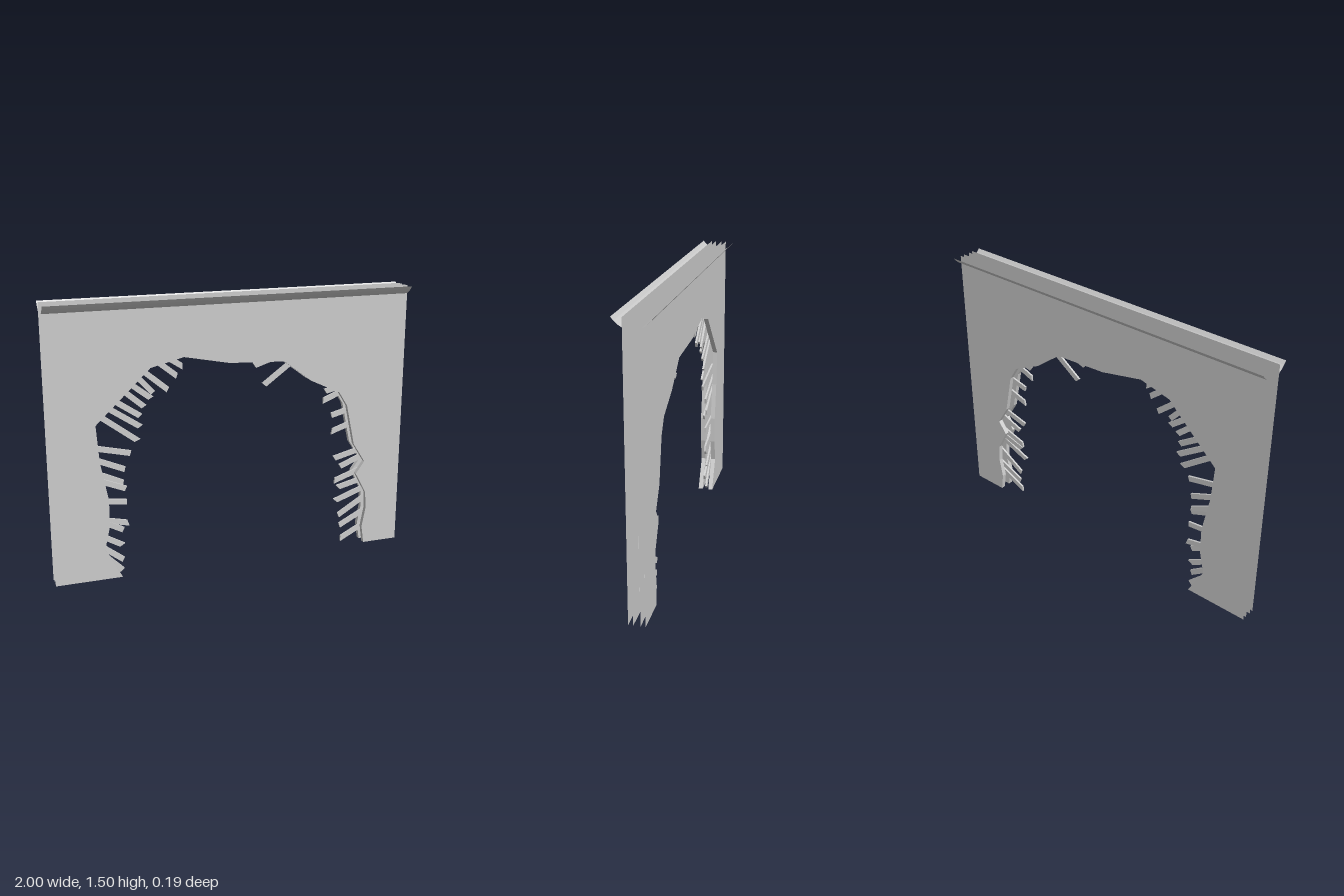
import * as THREE from 'three';

const material = new THREE.MeshStandardMaterial({
  color: 0xcccccc, flatShading: true, side: THREE.DoubleSide,
});

const TOP = 1.495;
const OUTER = 0.043; // outer plaster face
const INNER = 0.018; // inner plaster face

// Ragged opening, from the left foot over the top to the right foot
const opening = [
  [-0.64, 0], [-0.73, 0.17], [-0.7, 0.3], [-0.7, 0.45], [-0.74, 0.66], [-0.755, 0.86],
  [-0.46, 1.14], [-0.28, 1.185], [-0.03, 1.135], [0.28, 1.12], [0.44, 1.0], [0.61, 0.92],
  [0.66, 0.84], [0.71, 0.61], [0.78, 0.5], [0.73, 0.43], [0.795, 0.31], [0.8, 0.21],
  [0.78, 0.1], [0.795, 0],
];

// Broken laths: visible tip x, y and the direction they run into the wall, in degrees
const laths = [
  [-0.28, 1.13, 147], [-0.31, 1.08, 141], [-0.36, 1.01, 140], [-0.44, 1.0, 132],
  [-0.45, 0.97, 142], [-0.49, 0.93, 139], [-0.51, 0.88, 146], [-0.51, 0.82, 146],
  [-0.53, 0.75, 143], [-0.57, 0.685, 167], [-0.6, 0.595, 157], [-0.61, 0.52, 155],
  [-0.595, 0.41, 173], [-0.6, 0.49, 158], [-0.59, 0.29, 167], [-0.62, 0.255, 152],
  [-0.625, 0.165, 150], [-0.625, 0.085, 143], [-0.63, 0.02, 135],
  [0.125, 1.1, 18], [0.18, 0.99, 36],
  [0.54, 0.925, 14], [0.53, 0.87, 22], [0.585, 0.78, 14], [0.59, 0.685, 18],
  [0.61, 0.525, 14], [0.65, 0.47, 21], [0.62, 0.385, 18], [0.64, 0.345, 14],
  [0.62, 0.27, 20], [0.65, 0.17, 31], [0.66, 0.105, 26], [0.66, 0.03, 26],
];

function addMesh(parent, name, geometry) {
  const mesh = new THREE.Mesh(geometry, material);
  mesh.name = name;
  parent.add(mesh);
  return mesh;
}

// Open ribbon joining two rows of points
function ribbon(rowA, rowB) {
  const positions = [];
  const index = [];
  rowA.forEach((p, i) => {
    positions.push(...p, ...rowB[i]);
    if (i > 0) {
      const k = 2 * i;
      index.push(k - 2, k, k - 1, k, k + 1, k - 1);
    }
  });
  const g = new THREE.BufferGeometry();
  g.setAttribute('position', new THREE.Float32BufferAttribute(positions, 3));
  g.setIndex(index);
  g.computeVertexNormals();
  return g;
}

export function createModel() {
  const model = new THREE.Group();
  model.name = 'brokenWall';

  const shape = new THREE.Shape(
    [[-1, 0], ...opening, [1, 0], [1, TOP], [-1, TOP]].map(([x, y]) => new THREE.Vector2(x, y)),
  );
  const cove = [[OUTER, 1.45], [0.062, 1.462], [0.08, 1.478], [0.094, TOP]];

  for (const side of [1, -1]) {
    const leaf = new THREE.Group();
    leaf.name = side > 0 ? 'frontLeaf' : 'backLeaf';
    model.add(leaf);

    // Two thin faces, open at the ends and the top
    for (const [name, depth, facing] of [['outerFace', OUTER, side], ['innerFace', INNER, -side]]) {
      const face = addMesh(leaf, name, new THREE.ShapeGeometry(shape));
      face.position.z = side * depth;
      // Mirror the winding of faces that look backwards
      if (facing < 0) {
        const g = face.geometry;
        g.index.array.reverse();
        g.computeVertexNormals();
      }
    }

    // Thickness of the plaster round the opening
    addMesh(leaf, 'openingEdge', ribbon(
      opening.map(([x, y]) => [x, y, side * OUTER]),
      opening.map(([x, y]) => [x, y, side * INNER]),
    ));

    // Thin moulding flaring outwards along the top
    addMesh(leaf, 'cornice', ribbon(
      cove.map(([z, y]) => [-side, y, side * z]),
      cove.map(([z, y]) => [side, y, side * z]),
    ));
  }

  // Splintered laths caught between the two leaves
  const lathGroup = new THREE.Group();
  lathGroup.name = 'laths';
  model.add(lathGroup);
  let seed = 7;
  const random = () => (seed = (seed * 16807) % 2147483647) / 2147483647;
  const length = 0.28;
  for (const [x, y, degrees] of laths) {
    const geometry = new THREE.BoxGeometry(length, 0.03, 0.011);
    geometry.translate(length / 2, 0, 0);
    // Skew the broken tip
    const p = geometry.attributes.position;
    const skew = (random() - 0.5) * 0.02;
    for (let i = 0; i < p.count; i++) {
      if (p.getX(i) < 0.01) p.setX(i, Math.sign(p.getY(i)) * skew);
    }
    geometry.computeVertexNormals();
    const lath = addMesh(lathGroup, 'lath', geometry);
    lath.position.set(x, y, (random() - 0.5) * 0.022);
    lath.rotation.set(0, (random() - 0.5) * 0.06, THREE.MathUtils.degToRad(degrees), 'ZYX');
  }

  return model;
}
